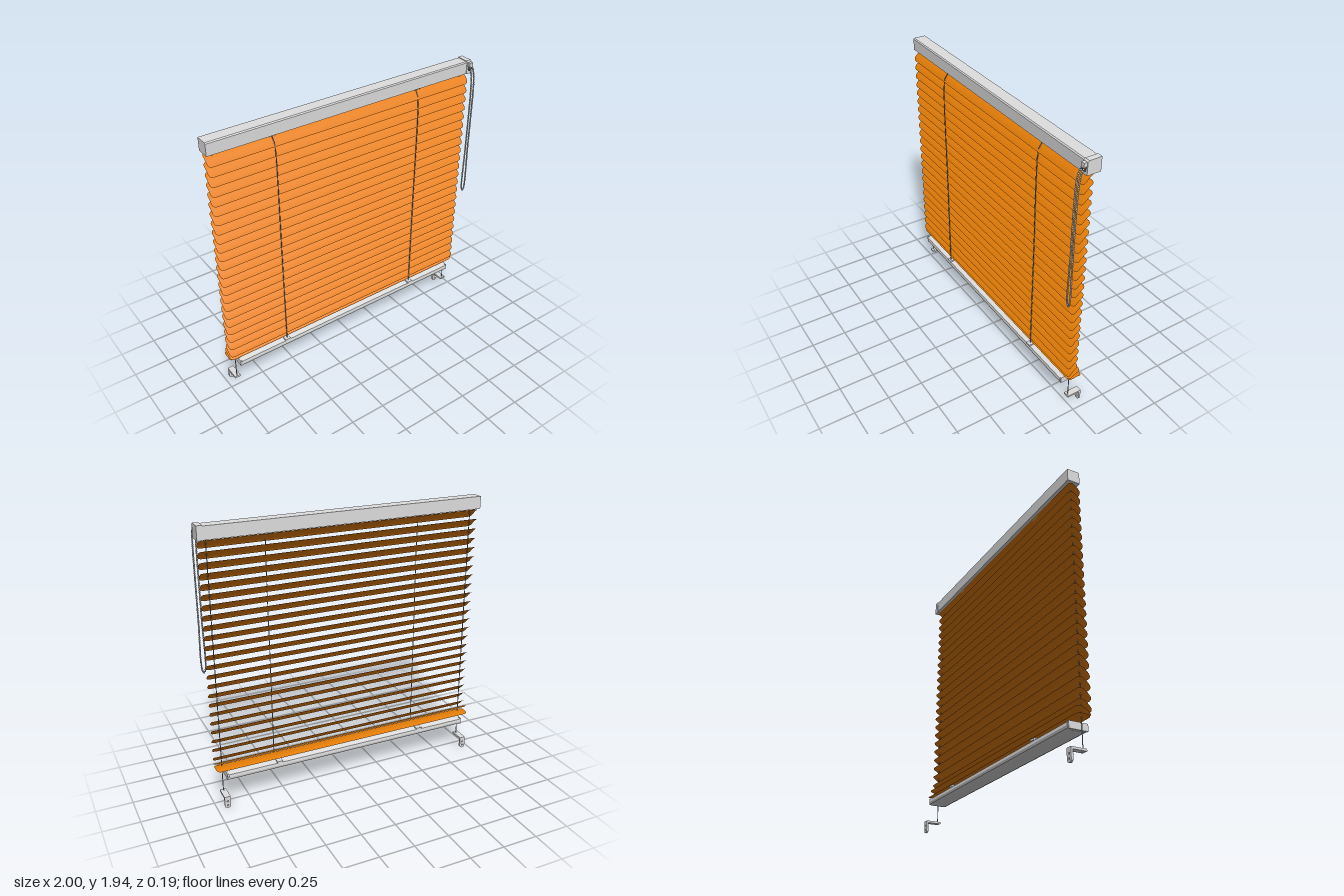
import * as THREE from 'three';
import { mergeGeometries } from 'three/addons/utils/BufferGeometryUtils.js';

const mat = (name, color, side = THREE.FrontSide) => {
  const m = new THREE.MeshStandardMaterial({ color, side });
  m.name = name;
  return m;
};

export function createModel() {
  const model = new THREE.Group();
  model.name = 'venetianBlind';
  const aluminium = mat('aluminium', 0xdedede);
  const orange = mat('orangeSlat', 0xe98008, THREE.DoubleSide);
  const steel = mat('steelCord', 0x8c9aa6);
  const dark = mat('darkWheel', 0x5a5054);
  const chainGrey = mat('chainGrey', 0xb4b4b4);

  const add = (name, geometry, material, x = 0, y = 0, z = 0, parent = model) => {
    const mesh = new THREE.Mesh(geometry, material);
    mesh.name = name;
    mesh.position.set(x, y, z);
    parent.add(mesh);
    return mesh;
  };
  const box = (name, material, x, y, z, w, h, d, parent) =>
    add(name, new THREE.BoxGeometry(w, h, d), material, x, y, z, parent);

  // Extrudes a [z, y] section along x from x0 to x1
  const rail = (name, section, x0, x1) => {
    const shape = new THREE.Shape(section.map(([z, y]) => new THREE.Vector2(-z, y)));
    const g = new THREE.ExtrudeGeometry(shape, { depth: x1 - x0, bevelEnabled: false });
    g.rotateY(Math.PI / 2);
    return add(name, g, aluminium, x0);
  };
  const cord = (name, points, radius) => {
    const curve = new THREE.CatmullRomCurve3(points.map(p => new THREE.Vector3(...p)));
    return add(name, new THREE.TubeGeometry(curve, 24, radius, 6), steel);
  };

  // Head rail and the chain housing at its end
  rail('headRail', [[-0.053, 1.852], [0.036, 1.852], [0.036, 1.931], [0.029, 1.938],
    [-0.053, 1.938]], -1, 0.957);
  rail('chainHousing', [[-0.055, 1.85], [0.04, 1.85], [0.04, 1.934], [0.031, 1.943],
    [-0.055, 1.943]], 0.957, 0.995);

  // Bottom rail with end caps
  rail('bottomRail', [[0.035, 0.201], [0.052, 0.209], [0.056, 0.225], [0.054, 0.245],
    [0.02, 0.253], [-0.045, 0.253], [-0.08, 0.245], [-0.082, 0.225], [-0.078, 0.209],
    [-0.06, 0.201]], -0.925, 0.905);
  for (const x of [-0.93, 0.91]) {
    box('bottomRailCap', aluminium, x, 0.228, -0.013, 0.01, 0.046, 0.13);
  }

  // Slats: a thin plate with rounded corners and a slight crown
  const length = 1.98, width = 0.104, corner = 0.026, crown = 0.008;
  const slatGeometry = new THREE.PlaneGeometry(length, width, 1, 20);
  slatGeometry.rotateX(-Math.PI / 2);
  const p = slatGeometry.attributes.position;
  for (let i = 0; i < p.count; i++) {
    const z = p.getZ(i);
    const over = Math.max(0, Math.abs(z) - (width / 2 - corner));
    const inset = corner - Math.sqrt(Math.max(0, corner * corner - over * over));
    p.setX(i, Math.sign(p.getX(i)) * (length / 2 - inset));
    p.setY(i, crown * (1 - (2 * z / width) ** 2));
  }
  slatGeometry.computeVertexNormals();
  const addSlat = (y, z, tilt) => {
    const slat = add('slat', slatGeometry, orange, -0.01, y, z);
    slat.rotation.x = tilt;
  };
  for (let i = 0; i < 23; i++) addSlat(1.812 - i * 0.067, 0.004, 0.71);
  addSlat(0.302, -0.008, 0.5);
  addSlat(0.272, -0.018, 0.03);

  // Ladder cords with clips on both rails
  for (const [x, z] of [[-0.56, 0.044], [0.54, 0.039]]) {
    cord('ladderCord', [[x, 1.852, -0.005], [x, 1.835, 0.015], [x, 1.8, z - 0.008],
      [x, 1.74, z], [x, 1, z], [x, 0.32, z], [x, 0.25, z]], 0.003);
    box('topClip', aluminium, x, 1.847, -0.005, 0.055, 0.012, 0.05);
    box('bottomClip', aluminium, x, 0.252, -0.013, 0.04, 0.014, 0.146);
  }

  // Side guide cables and their wall brackets
  const plate = new THREE.Shape();
  plate.moveTo(-0.021, 0.088);
  plate.lineTo(-0.021, 0.021);
  plate.absarc(0, 0.021, 0.021, Math.PI, Math.PI * 2, false);
  plate.lineTo(0.021, 0.088);
  plate.closePath();
  for (const y of [0.022, 0.052]) {
    const hole = new THREE.Path();
    hole.absarc(0, y, 0.006, 0, Math.PI * 2, true);
    plate.holes.push(hole);
  }
  const plateGeometry = new THREE.ExtrudeGeometry(plate, { depth: 0.014, bevelEnabled: false });
  for (const x of [-0.95, 0.93]) {
    add('guideCable', new THREE.CylinderGeometry(0.003, 0.003, 1.78, 6), steel, x, 0.965, -0.002);
    const bracket = new THREE.Group();
    bracket.name = 'wallBracket';
    bracket.position.x = x;
    add('bracketPlate', plateGeometry, aluminium, 0, 0, -0.095, bracket);
    box('bracketArm', aluminium, 0, 0.081, -0.036, 0.042, 0.014, 0.094, bracket);
    add('cableStop', new THREE.CylinderGeometry(0.008, 0.008, 0.02, 12), aluminium, 0, 0.08, -0.002, bracket);
    model.add(bracket);
  }

  // Chain wheel on the housing
  const wheel = add('chainWheel', new THREE.CylinderGeometry(0.024, 0.024, 0.014, 20), dark, 0.977, 1.898, 0.038);
  wheel.rotation.z = Math.PI / 2;
  box('chainGuide', aluminium, 0.977, 1.918, 0.05, 0.026, 0.03, 0.022);

  // Beaded chain loop
  const strand = x => [[x, 1.905, 0.055], [x, 1.88, 0.07], [x, 1.83, 0.082], [x, 1.74, 0.088], [x, 1.3, 0.089], [x, 0.965, 0.089]];
  const loop = new THREE.CatmullRomCurve3(
    [...strand(0.966), [0.977, 0.942, 0.089], ...strand(0.988).reverse()].map(q => new THREE.Vector3(...q)));
  const beads = loop.getSpacedPoints(170).map(q =>
    new THREE.SphereGeometry(0.0062, 8, 6).translate(q.x, q.y, q.z));
  add('beadChain', mergeGeometries(beads), chainGrey);

  return model;
}
